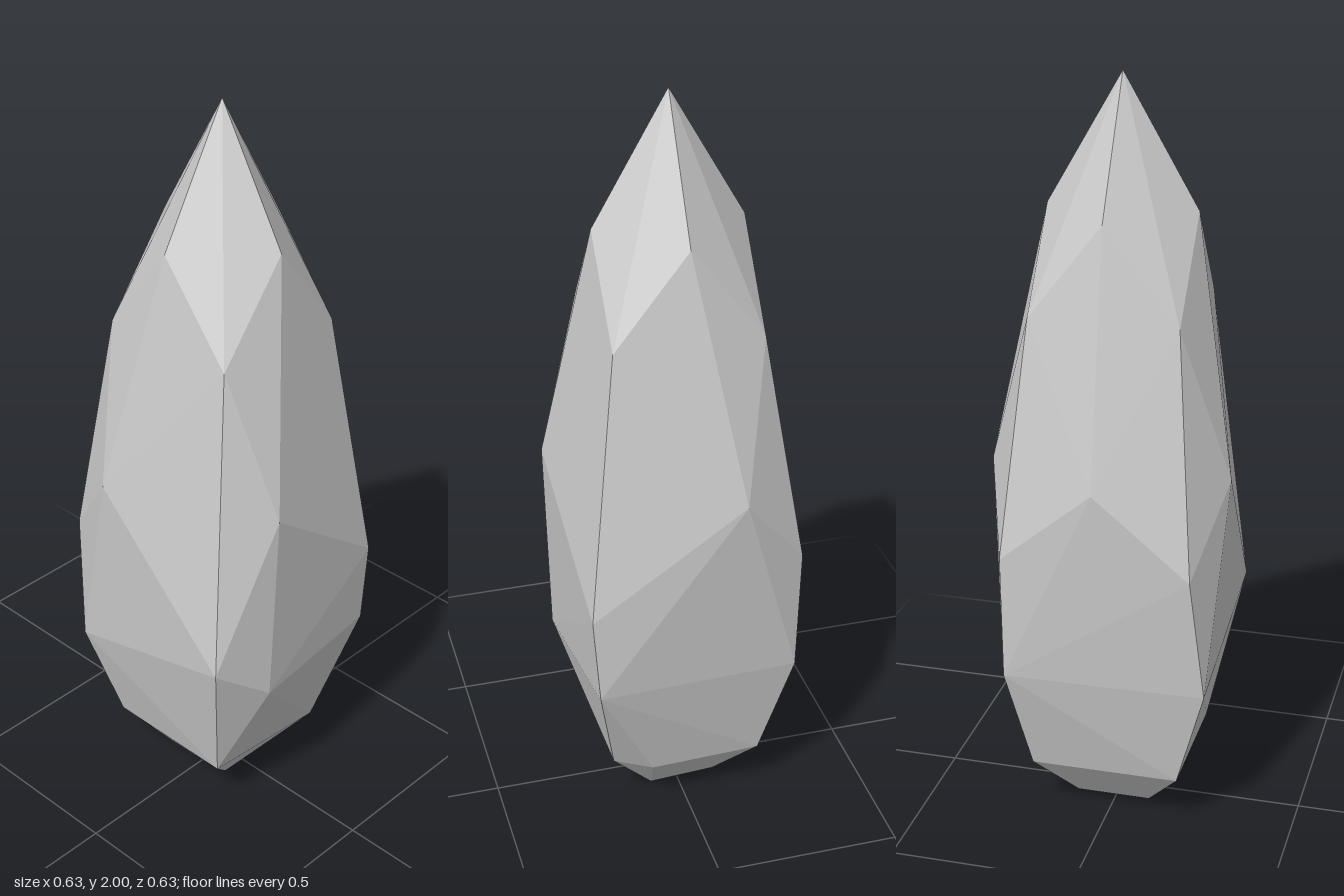
import * as THREE from 'three';
import { ConvexGeometry } from 'three/addons/geometries/ConvexGeometry.js';

export function createModel() {
  const group = new THREE.Group();
  group.name = 'crystal';
  const points = [];
  const add = (x, y, z) => points.push(new THREE.Vector3(x, y, z));

  // pointed tip with its four regular facets
  add(0, 2, 0);
  for (const s of [-1, 1]) {
    add(0.197 * s, 1.66, 0);
    add(0, 1.66, 0.197 * s);
    for (const t of [-1, 1]) add(0.195 * s, 1.41, 0.195 * t);
  }

  // irregular rings of cut corners, from the widest part down to the foot
  const rings = [
    // waist
    [[-0.12, 1, 0.316], [0.315, 1, 0.12], [-0.12, 1, -0.318], [-0.316, 1, 0]],
    // upper belly
    [[0.257, 0.57, 0.29], [0.28, 0.7, -0.283], [-0.293, 0.79, -0.25], [-0.295, 0.78, 0.25]],
    // lower belly
    [[0.3, 0.45, 0.13], [0.263, 0.46, -0.283], [-0.283, 0.45, -0.25], [-0.255, 0.44, 0.283]],
    // taper
    [[0.175, 0.15, 0.2], [0.2, 0.15, -0.155], [0.1, 0.14, -0.2], [-0.2, 0.15, -0.2], [-0.2, 0.15, 0.2]],
    // foot
    [[0.08, 0, 0.07], [0.08, 0.01, -0.1], [-0.1, 0.02, -0.1], [-0.1, 0.02, 0.1]],
  ];
  rings.flat().forEach((p) => add(...p));

  // faceted body wrapped around the corners
  const body = new THREE.Mesh(
    new ConvexGeometry(points),
    new THREE.MeshStandardMaterial({ color: 0xcccccc, flatShading: true })
  );
  body.name = 'crystalBody';
  group.add(body);
  return group;
}
